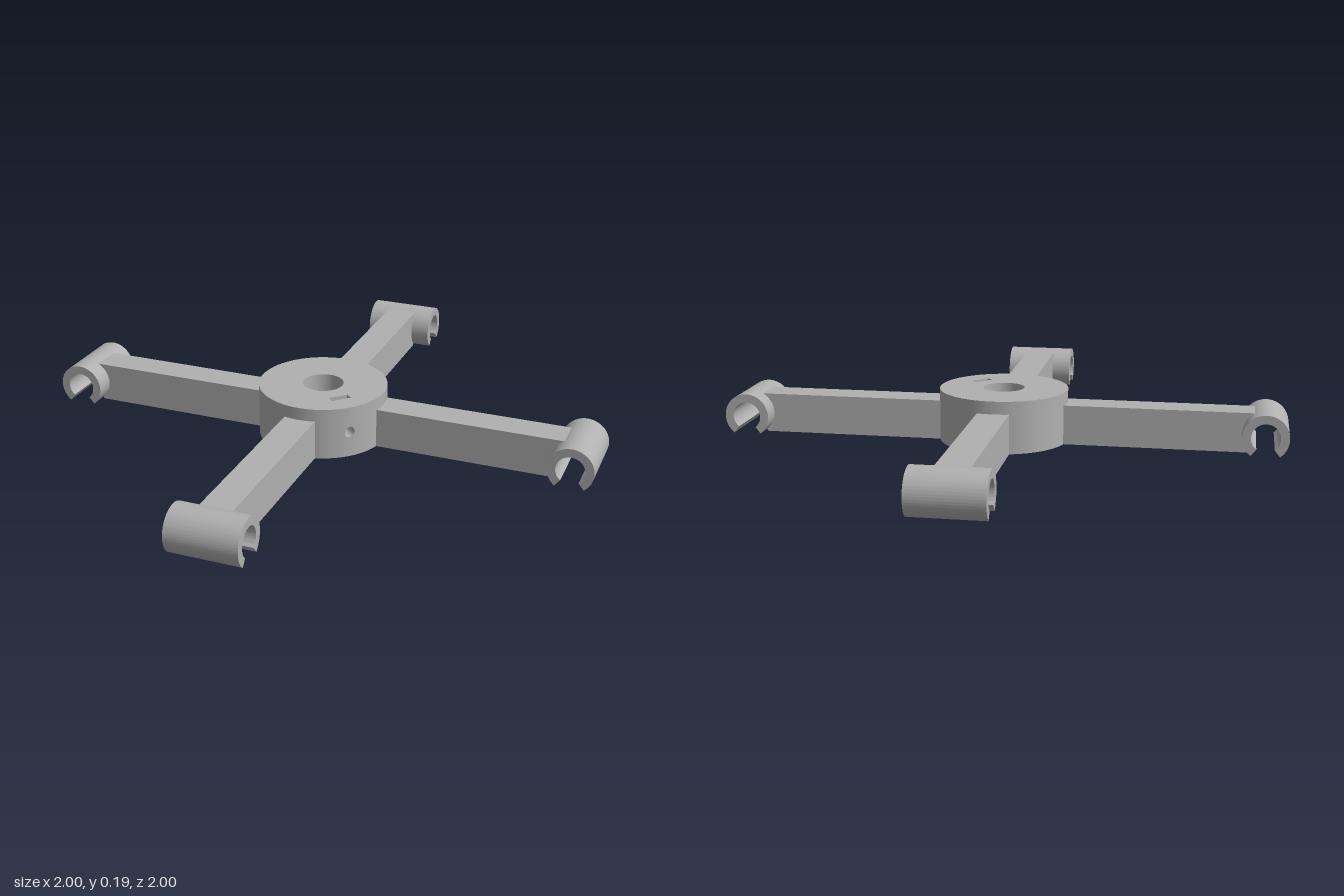
import * as THREE from 'three';
import { mergeGeometries, toCreasedNormals } from 'three/addons/utils/BufferGeometryUtils.js';

const HUB_R = 0.228, BORE_R = 0.072, HUB_H = 0.185, SCREW_R = 0.019;
const CLIP_X = 0.92, CLIP_Y = 0.07, CLIP_OUT = 0.08, CLIP_IN = 0.05;
const DIAGONAL = Math.PI / 4;

// Upright round wall with a screw hole on the diagonal
function piercedWall(radius) {
  const halfW = 0.05, span = Math.asin(halfW / radius);
  const rest = new THREE.CylinderGeometry(radius, radius, HUB_H, 80, 1, true,
    DIAGONAL + span, Math.PI * 2 - 2 * span);
  // Ring stretched from the round hole to a rectangle, then bent round the wall
  const segs = 48, rows = 6;
  const patch = new THREE.RingGeometry(0.5, 1, segs, rows);
  const pos = patch.attributes.position, nor = patch.attributes.normal;
  for (let j = 0; j <= rows; j++) {
    for (let i = 0; i <= segs; i++) {
      const a = i / segs * Math.PI * 2, c = Math.cos(a), s = Math.sin(a), t = j / rows;
      const m = Math.max(Math.abs(c), Math.abs(s));
      const x = THREE.MathUtils.lerp(SCREW_R * c, halfW * c / m, t);
      const y = THREE.MathUtils.lerp(SCREW_R * s, HUB_H / 2 * s / m, t);
      const th = DIAGONAL + Math.asin(x / radius), k = j * (segs + 1) + i;
      pos.setXYZ(k, radius * Math.sin(th), y, radius * Math.cos(th));
      nor.setXYZ(k, Math.sin(th), 0, Math.cos(th));
    }
  }
  return mergeGeometries([rest, patch]).translate(0, HUB_H / 2, 0);
}

// Extrude a side profile, centred across its width
function extrudeSide(shape, width) {
  const g = new THREE.ExtrudeGeometry(shape, { depth: width, bevelEnabled: false, curveSegments: 40 });
  return toCreasedNormals(g.translate(0, 0, -width / 2), 0.5);
}

export function createModel() {
  const model = new THREE.Group();
  const grey = new THREE.MeshStandardMaterial({ color: 0xb0b0b0, side: THREE.DoubleSide });
  grey.name = 'grey plastic';
  const add = (parent, name, geometry) => {
    const mesh = new THREE.Mesh(geometry, grey);
    mesh.name = name;
    parent.add(mesh);
    return mesh;
  };

  // Hub
  const hub = new THREE.Group();
  hub.name = 'hub';
  model.add(hub);
  add(hub, 'hubOuterWall', piercedWall(HUB_R));
  add(hub, 'hubBore', piercedWall(BORE_R));
  add(hub, 'hubBottom', new THREE.RingGeometry(BORE_R, HUB_R, 80).rotateX(Math.PI / 2));

  // Top face with the bore and the diagonal nut slot
  const slotL = 0.035, slotW = 0.014, slotAt = 0.1, slotDepth = 0.115;
  const top = new THREE.Shape().absarc(0, 0, HUB_R, 0, Math.PI * 2);
  top.holes.push(new THREE.Path().absarc(0, 0, BORE_R, 0, Math.PI * 2, true));
  const corners = [[-1, -1], [1, -1], [1, 1], [-1, 1]].map(([u, v]) => new THREE.Vector2(
    slotAt + (u * slotL - v * slotW) * Math.SQRT1_2,
    -slotAt + (u * slotL + v * slotW) * Math.SQRT1_2));
  top.holes.push(new THREE.Path(corners));
  add(hub, 'hubTop', new THREE.ShapeGeometry(top, 40).rotateX(-Math.PI / 2).translate(0, HUB_H, 0));

  // Slot pocket, open at the top (top face group removed)
  const pocket = new THREE.BoxGeometry(2 * slotL, slotDepth, 2 * slotW);
  const index = Array.from(pocket.index.array);
  index.splice(12, 6);
  pocket.setIndex(index);
  pocket.clearGroups();
  add(hub, 'nutSlot', pocket.rotateY(DIAGONAL).translate(slotAt, HUB_H - slotDepth / 2, slotAt));

  // Screw tunnel from the outer wall to the bore
  const tunnel = new THREE.CylinderGeometry(SCREW_R, SCREW_R, HUB_R - BORE_R, 32, 1, true);
  tunnel.rotateX(Math.PI / 2).translate(0, HUB_H / 2, (HUB_R + BORE_R) / 2).rotateY(DIAGONAL);
  add(hub, 'screwTunnel', tunnel);

  // Open ring clip, with the gap facing down
  const gap = THREE.MathUtils.degToRad(38);
  const from = -Math.PI / 2 + gap, to = Math.PI * 1.5 - gap;
  const clipShape = new THREE.Shape();
  clipShape.absarc(CLIP_X, CLIP_Y, CLIP_OUT, from, to, false);
  clipShape.absarc(CLIP_X, CLIP_Y, CLIP_IN, to, from, true);
  clipShape.closePath();
  const clipGeometry = extrudeSide(clipShape, 0.25);

  // Arm, hollowed at its end so that it meets the clip
  const armShape = new THREE.Shape();
  armShape.moveTo(0.21, 0);
  armShape.lineTo(CLIP_X - CLIP_Y * Math.tan(gap), 0);
  armShape.absarc(CLIP_X, CLIP_Y, 0.064, to, Math.PI * 0.72, true);
  armShape.lineTo(0.881, 0.14);
  armShape.lineTo(0.21, 0.14);
  armShape.closePath();
  const armGeometry = extrudeSide(armShape, 0.112);

  for (let i = 0; i < 4; i++) {
    const spoke = new THREE.Group();
    spoke.name = 'spoke' + (i + 1);
    add(spoke, 'arm', armGeometry);
    add(spoke, 'clip', clipGeometry);
    spoke.rotation.y = i * Math.PI / 2;
    model.add(spoke);
  }
  return model;
}
